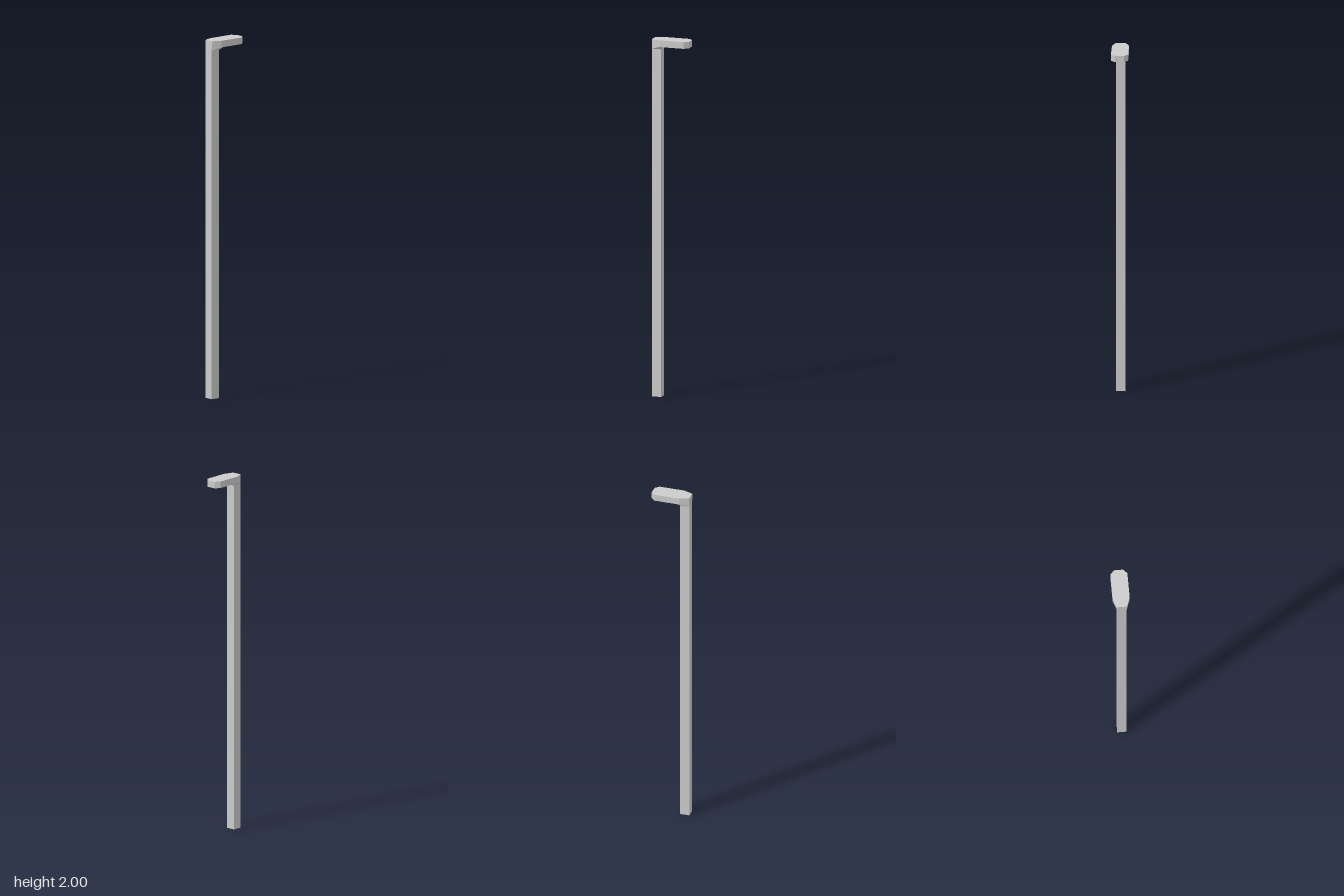
import * as THREE from 'three';
import { ConvexGeometry } from 'three/addons/geometries/ConvexGeometry.js';

const POST_X0 = -0.108, POST_X1 = -0.055, POST_Z = 0.026;
const POST_TOP = 1.946, HEAD_BOTTOM = 1.963, HEAD_TOP = 2, HEAD_Z = 0.047;

// Mirrors one half of an outline across z = 0 into a closed shape
function mirroredShape(half) {
  const other = half.map(([x, z]) => [x, -z]).reverse();
  return new THREE.Shape([...half, ...other].map(([x, z]) => new THREE.Vector2(x, z)));
}

export function createModel() {
  const group = new THREE.Group();
  const grey = new THREE.MeshStandardMaterial({ color: 0xcccccc, flatShading: true });
  const blue = new THREE.MeshStandardMaterial({ color: 0x001f5c });

  function add(name, geometry, material) {
    const mesh = new THREE.Mesh(geometry, material);
    mesh.name = name;
    group.add(mesh);
    return mesh;
  }

  // Square post
  const post = add('post', new THREE.BoxGeometry(POST_X1 - POST_X0, POST_TOP, POST_Z * 2), grey);
  post.position.set((POST_X0 + POST_X1) / 2, POST_TOP / 2, 0);

  // Flared collar between post and lamp head
  const collar = [];
  for (const s of [-1, 1]) {
    collar.push(
      new THREE.Vector3(POST_X0, POST_TOP, s * POST_Z),
      new THREE.Vector3(POST_X1, POST_TOP, s * POST_Z),
      new THREE.Vector3(POST_X0, HEAD_BOTTOM, s * POST_Z),
      new THREE.Vector3(-0.057, HEAD_BOTTOM, s * HEAD_Z),
      new THREE.Vector3(-0.042, HEAD_BOTTOM, s * HEAD_Z)
    );
  }
  add('collar', new ConvexGeometry(collar), grey);

  // Lamp head slab with chamfered corners
  const tip = [[0.085, HEAD_Z], [0.108, 0.025]];
  const outline = mirroredShape([[POST_X0, 0.027], [-0.057, HEAD_Z], ...tip]);
  const head = new THREE.ExtrudeGeometry(outline, { depth: HEAD_TOP - HEAD_BOTTOM, bevelEnabled: false });
  head.rotateX(Math.PI / 2);
  add('lampHead', head, grey).position.y = HEAD_TOP;

  // Coloured light panel facing down
  const panel = new THREE.ShapeGeometry(mirroredShape([[-0.042, HEAD_Z], ...tip]));
  panel.rotateX(Math.PI / 2);
  add('lightPanel', panel, blue).position.y = HEAD_BOTTOM - 0.0006;

  return group;
}
